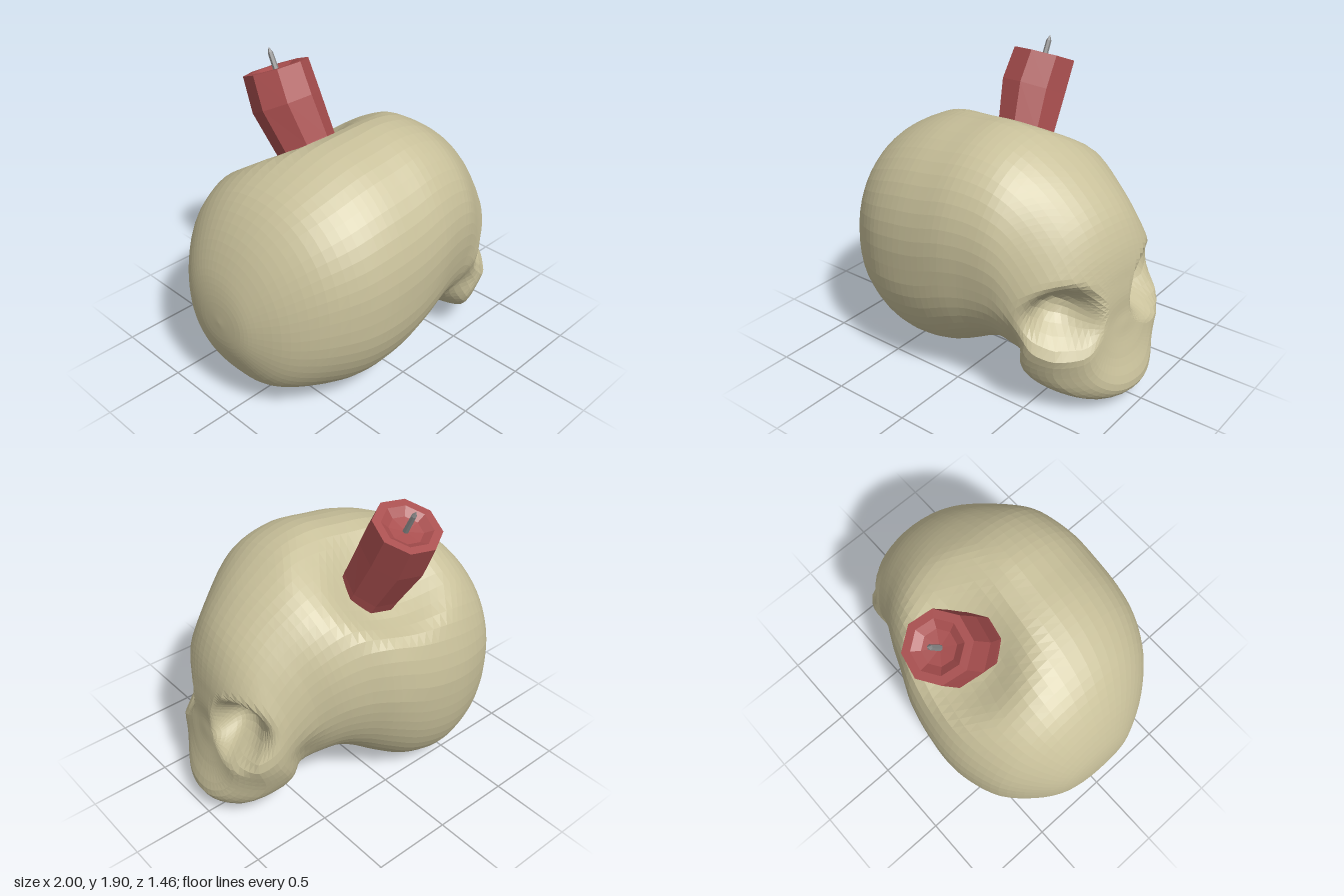
import * as THREE from 'three';

const V = (x, y, z) => new THREE.Vector3(x, y, z);
const smooth = THREE.MathUtils.smoothstep;

// Skins a list of closed rings into one faceted mesh
function skin(name, rows, color) {
  const n = rows[0].length, pos = [], index = [];
  rows.forEach(row => row.forEach(p => pos.push(p.x, p.y, p.z)));
  for (let i = 0; i < rows.length - 1; i++) {
    for (let j = 0; j < n; j++) {
      const a = i * n + j, b = i * n + (j + 1) % n;
      index.push(a, b, a + n, b, b + n, a + n);
    }
  }
  const geo = new THREE.BufferGeometry();
  geo.setAttribute('position', new THREE.Float32BufferAttribute(pos, 3));
  geo.setIndex(index);
  geo.computeVertexNormals();
  const mesh = new THREE.Mesh(geo, new THREE.MeshStandardMaterial({ color, flatShading: true }));
  mesh.name = name;
  return mesh;
}

// Skull sections from back of the head to the face: top x, y, bottom x, y, z min, z max
const SECTIONS = [
  [-1, 0.66, -1, 0.66, -0.02, -0.02],
  [-0.985, 0.82, -0.985, 0.5, -0.2, 0.15],
  [-0.95, 0.96, -0.95, 0.38, -0.33, 0.25],
  [-0.85, 1.17, -0.85, 0.2, -0.48, 0.42],
  [-0.7, 1.35, -0.7, 0.09, -0.62, 0.57],
  [-0.5, 1.47, -0.5, 0.02, -0.7, 0.68],
  [-0.3, 1.54, -0.35, 0, -0.725, 0.72],
  [-0.1, 1.57, -0.15, 0.045, -0.71, 0.73],
  [0.1, 1.59, 0.02, 0.14, -0.67, 0.72],
  [0.3, 1.55, 0.15, 0.22, -0.6, 0.69],
  [0.5, 1.44, 0.28, 0.27, -0.53, 0.66],
  [0.65, 1.32, 0.42, 0.23, -0.46, 0.64],
  [0.78, 1.17, 0.58, 0.13, -0.42, 0.62],
  [0.85, 1.02, 0.76, 0.07, -0.41, 0.6],
  [0.88, 0.9, 0.92, 0.07, -0.36, 0.53],
  [0.89, 0.82, 1.0, 0.15, -0.25, 0.42],
  [0.9, 0.72, 0.95, 0.34, -0.13, 0.3],
  [0.9, 0.61, 0.92, 0.46, -0.02, 0.19],
  [0.91, 0.54, 0.91, 0.54, 0.09, 0.09],
];

// Eye sockets: centre and inward push
const SOCKETS = [
  [V(0.75, 0.66, 0.47), V(-0.19, 0.01, -0.12)],
  [V(0.83, 0.67, -0.19), V(-0.22, 0.01, 0.1)],
];

function shapeSkull(p) {
  // Roll of the cranium, fading out at the face
  const face = smooth(p.x, 0.3, 0.85), dy = p.y - 0.78;
  const roll = dy > 0 ? 0.08 * dy : -0.2 * dy * dy;
  p.z += roll * (1 - face) * smooth(p.x, -1, -0.6);
  // Pinch behind the cheeks and jaw
  const s = (p.z - 0.09) / 0.5;
  p.z -= 0.06 * s * Math.exp(-(((p.x - 0.56) / 0.12) ** 2)) * (1 - smooth(p.y, 0.4, 0.7));
  // Face curves back at the cheeks, more so at the jaw, and is turned a little
  const curve = 0.1 + 0.14 * (1 - smooth(p.y, 0.25, 0.55));
  p.x -= face * (curve * s * s + 0.06 * s);
  // Soft flattened slope and shallow crater under the candle
  const limit = 1.266 + Math.min(0.03, 0.09 * Math.max(0, 0.1 - p.z));
  const over = 0.015 * Math.log1p(Math.exp((0.83 * p.y - 0.55 * p.z - limit) / 0.015));
  p.y -= 0.83 * over;
  p.z += 0.55 * over;
  const near = 1 - smooth(p.distanceTo(V(-0.09, 1.32, -0.32)), 0.12, 0.42);
  p.y -= 0.07 * near;
  p.z += 0.04 * near;
  // Sockets
  const push = V(0, 0, 0);
  for (const [c, dir] of SOCKETS) {
    const d = Math.hypot((p.x - c.x) * 0.7, p.y - c.y, p.z - c.z);
    push.addScaledVector(dir, 1 - smooth(d, 0.03, 0.25));
  }
  p.add(push);
  p.y = Math.max(p.y, 0);
  return p;
}

function makeSkull() {
  const track = f => new THREE.CatmullRomCurve3(SECTIONS.map(f));
  const top = track(r => V(r[0], r[1], 0));
  const bottom = track(r => V(r[2], r[3], 0));
  const sides = track(r => V(r[4], r[5], r[0]));
  const rows = [], steps = (SECTIONS.length - 1) * 4, segs = 56;
  const round = (v, power) => Math.sign(v) * Math.abs(v) ** power;
  for (let i = 0; i <= steps; i++) {
    const t = top.getPoint(i / steps), b = bottom.getPoint(i / steps), w = sides.getPoint(i / steps);
    const row = [];
    for (let j = 0; j < segs; j++) {
      const a = j / segs * Math.PI * 2, c = Math.cos(a);
      const p = b.clone().lerp(t, (round(c, 0.93) + 1) / 2);
      // Lower half is squarer than the crown
      const side = round(Math.sin(a), c < 0 ? 0.79 : 0.93);
      p.z = (w.x + w.y) / 2 + side * (w.y - w.x) / 2;
      row.push(shapeSkull(p));
    }
    rows.push(row);
  }
  return skin('skull', rows, 0xc8c09a);
}

// Leaning eight-sided candle with a hollowed top: centre x, y, z, radius, lean
function makeCandle() {
  const rings = [
    [-0.05, 1.2, -0.19, 0.18, 0.55],
    [-0.07, 1.36, -0.275, 0.185, 0.55],
    [-0.1, 1.6, -0.4, 0.21, 0.47],
    [-0.09, 1.79, -0.495, 0.2, 0.4],
    [-0.09, 1.79, -0.495, 0.15, 0.4],
    [-0.09, 1.76, -0.485, 0.1, 0.4],
    [-0.09, 1.75, -0.48, 0, 0.4],
  ];
  const rows = rings.map(([x, y, z, r, lean]) => Array.from({ length: 8 }, (_, j) => {
    const a = (j + 0.2) / 8 * Math.PI * 2;
    return V(Math.cos(a) * r, 0, -Math.sin(a) * r).applyAxisAngle(V(1, 0, 0), -lean).add(V(x, y, z));
  }));
  return skin('candle', rows, 0xa84e4e);
}

function makeWick() {
  const mat = new THREE.MeshStandardMaterial({ color: 0x8a8a8a, flatShading: true });
  const wick = new THREE.Group();
  wick.name = 'wick';
  const stem = new THREE.Mesh(new THREE.CylinderGeometry(0.016, 0.018, 0.13, 6).translate(0, 0.065, 0), mat);
  stem.name = 'wickStem';
  const tip = new THREE.Mesh(new THREE.ConeGeometry(0.016, 0.035, 6).translate(0, 0.147, 0), mat);
  tip.name = 'wickTip';
  wick.add(stem, tip);
  wick.position.set(-0.09, 1.75, -0.48);
  wick.rotation.x = -0.45;
  return wick;
}

export function createModel() {
  const model = new THREE.Group();
  model.name = 'skullCandle';
  model.add(makeSkull(), makeCandle(), makeWick());
  return model;
}
